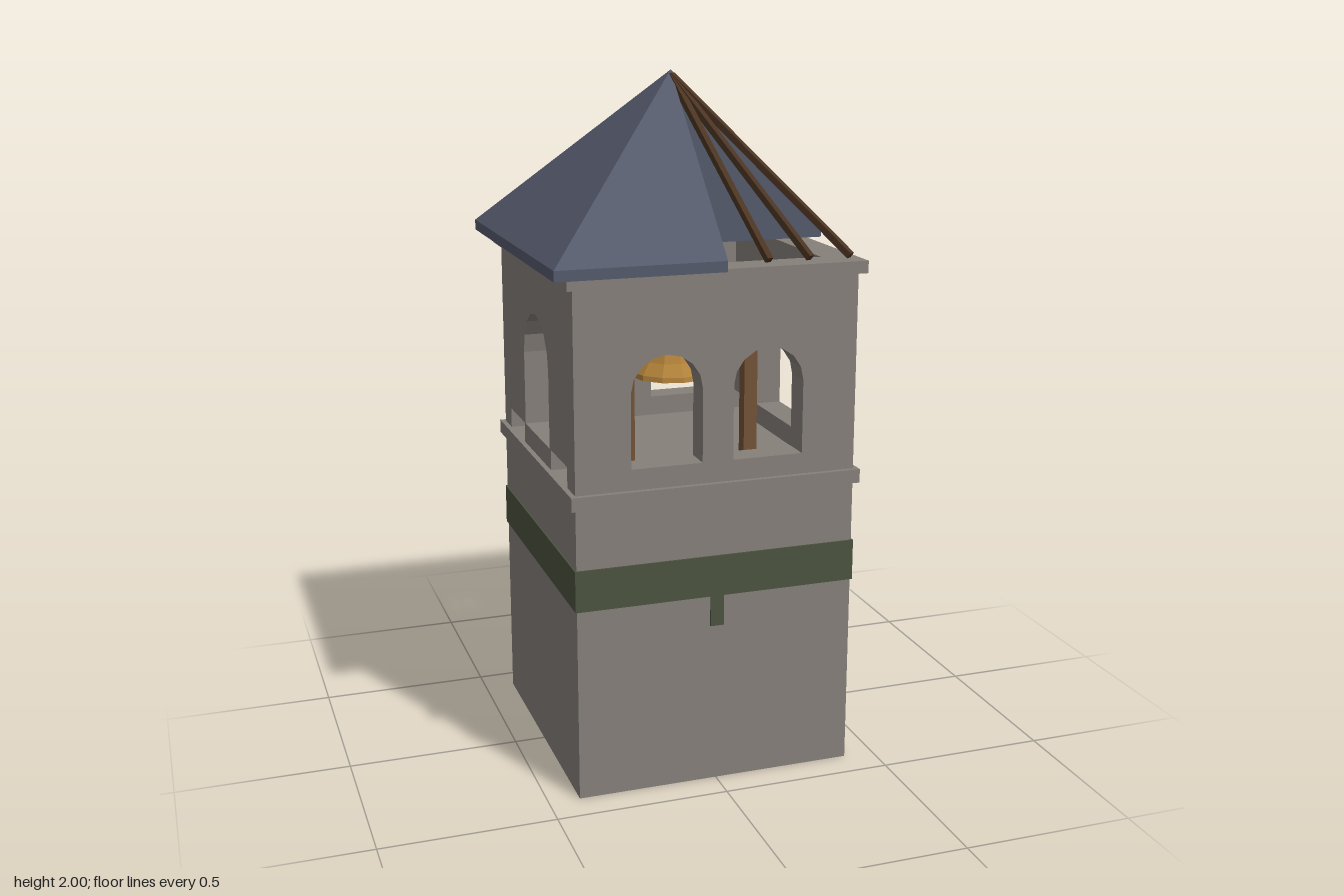
import * as THREE from 'three';

const mat = (name, color, double) => {
  const m = new THREE.MeshStandardMaterial({ color });
  m.name = name;
  if (double) m.side = THREE.DoubleSide;
  return m;
};

export function createModel() {
  const stone = mat('stone', 0x86807a);
  const slate = mat('slate', 0x555a6c);
  const moss = mat('moss', 0x4b533f);
  const wood = mat('wood', 0x735237);
  const darkWood = mat('dark wood', 0x4b3422);
  const bronze = mat('bronze', 0xb2823a, true);
  bronze.flatShading = true;

  const model = new THREE.Group();
  model.name = 'bellTower';
  const add = (name, geo, material, parent = model) => {
    const m = new THREE.Mesh(geo, material);
    m.name = name;
    parent.add(m);
    return m;
  };
  const box = (name, w, h, d, x, y, z, material, parent) => {
    const m = add(name, new THREE.BoxGeometry(w, h, d), material, parent);
    m.position.set(x, y, z);
    return m;
  };
  const rect = (T, r) => {
    const s = new T();
    s.moveTo(-r, -r); s.lineTo(r, -r); s.lineTo(r, r); s.lineTo(-r, r); s.closePath();
    return s;
  };

  // Square hollow ring standing from y0 to y1
  const ring = (name, outer, inner, y0, y1, material) => {
    const s = rect(THREE.Shape, outer);
    s.holes.push(rect(THREE.Path, inner));
    const g = new THREE.ExtrudeGeometry(s, { depth: y1 - y0, bevelEnabled: false });
    g.rotateX(-Math.PI / 2);
    g.translate(0, y0, 0);
    return add(name, g, material);
  };

  const H = 0.41, IN = 0.33, T = H - IN;
  ring('lowerShaft', H, IN, 0, 0.86, stone);
  ring('lowerCornice', 0.425, IN, 0.86, 0.9, stone);
  ring('upperCornice', 0.43, IN, 1.465, 1.5, stone);
  ring('mossBand', 0.415, H - 0.002, 0.565, 0.685, moss);
  box('belfryFloor', IN * 2, 0.04, IN * 2, 0, 0.88, 0, stone);

  // Moss patches trailing from the band
  box('frontMossPatch', 0.04, 0.15, 0.006, 0, 0.55, H + 0.002, moss);
  box('backMossPatch', 0.04, 0.15, 0.008, 0, 0.675, -H - 0.003, moss);

  // Belfry walls with round-headed openings: [centre, half width, sill, spring]
  const archPath = (Type, [c, r, sill, spring]) => {
    const p = new Type();
    p.moveTo(c - r, sill);
    p.lineTo(c + r, sill);
    for (let i = 0; i <= 8; i++) {
      const a = (i / 8) * Math.PI;
      p.lineTo(c + r * Math.cos(a), spring + r * Math.sin(a));
    }
    p.closePath();
    return p;
  };
  const extrudeWall = s => new THREE.ExtrudeGeometry(s, { depth: T, bevelEnabled: false }).translate(0, 0, IN);

  const twin = new THREE.Shape([[-H, 0.9], [H, 0.9], [H, 1.465], [-H, 1.465]].map(p => new THREE.Vector2(...p)));
  for (const c of [-0.148, 0.148]) twin.holes.push(archPath(THREE.Path, [c, 0.103, 0.96, 1.17]));
  const twinGeo = extrudeWall(twin);

  // Side walls hang above a low slot, broken by a sill block under the arch
  const side = new THREE.Shape();
  side.moveTo(-IN, 0.96);
  side.lineTo(-0.142, 0.96);
  for (let i = 8; i >= 0; i--) {
    const a = (i / 8) * Math.PI;
    side.lineTo(0.142 * Math.cos(a), 1.18 + 0.142 * Math.sin(a));
  }
  side.lineTo(0.142, 0.96);
  side.lineTo(IN, 0.96);
  side.lineTo(IN, 1.465);
  side.lineTo(-IN, 1.465);
  side.closePath();
  const sideGeo = extrudeWall(side);

  for (const [i, name] of ['front', 'back'].entries()) {
    add(name + 'BelfryWall', twinGeo, stone).rotation.y = i * Math.PI;
  }
  for (const [s, name] of [[1, 'left'], [-1, 'right']]) {
    add(name + 'BelfryWall', sideGeo, stone).rotation.y = s * Math.PI / 2;
    box(name + 'Sill', T, 0.06, 0.31, s * (H - T / 2), 0.93, 0, stone);
  }

  // Timber bell frame
  const frame = new THREE.Group();
  frame.name = 'bellFrame';
  model.add(frame);
  for (const s of [1, -1]) {
    for (const z of [0.155, -0.155]) box('framePost', 0.04, 0.42, 0.04, s * 0.187, 1.11, z, wood, frame);
    box('frameBeam', 0.046, 0.04, 0.365, s * 0.187, 1.34, 0, wood, frame);
  }
  box('headstock', 0.42, 0.04, 0.045, 0, 1.38, 0, wood, frame);
  box('ropeLever', 0.08, 0.02, 0.022, 0.245, 1.38, 0, darkWood, frame);
  box('bellRope', 0.008, 0.47, 0.008, 0.268, 1.135, 0, darkWood, frame);

  // Bell
  const profile = [[0.105, 1.12], [0.123, 1.115], [0.121, 1.13], [0.095, 1.165], [0.082, 1.2],
    [0.068, 1.26], [0.058, 1.315], [0.035, 1.335], [0, 1.34]].map(p => new THREE.Vector2(...p));
  add('bell', new THREE.LatheGeometry(profile, 12), bronze);
  box('bellHanger', 0.03, 0.04, 0.03, 0, 1.35, 0, wood);

  // Roof built from solid quarters; the front left quarter has fallen away
  const R = 0.475, E0 = 1.5, E1 = 1.53;
  const A = [0, 2, 0], O = [0, E0, 0];
  const X0 = [R, E0, 0], X1 = [R, E1, 0], C0 = [R, E0, R], C1 = [R, E1, R], Z0 = [0, E0, R], Z1 = [0, E1, R];
  const roofQuarter = cut => {
    const faces = [[A, C1, X1], [A, Z1, C1], [C1, C0, X0, X1], [Z1, Z0, C0, C1], [O, X0, C0, Z0]];
    if (cut) faces.push(cut);
    const pos = [];
    for (const f of faces) {
      for (let i = 1; i < f.length - 1; i++) pos.push(...f[0], ...f[i], ...f[i + 1]);
    }
    const g = new THREE.BufferGeometry();
    g.setAttribute('position', new THREE.Float32BufferAttribute(pos, 3));
    g.computeVertexNormals();
    return g;
  };
  const cuts = [[A, O, Z0, Z1], null, [A, X1, X0, O]];
  cuts.forEach((cut, i) => {
    add('roofQuarter', roofQuarter(cut), slate).rotation.y = (i + 1) * Math.PI / 2;
  });

  // Bare rafters across the gap
  const top = new THREE.Vector3(0, 1.985, 0.005);
  for (const x of [0.118, 0.237, 0.355]) {
    const foot = new THREE.Vector3(x, 1.525, 0.472);
    const r = box('rafter', 0.018, 0.018, top.distanceTo(foot), 0, 0, 0, darkWood);
    r.position.copy(top).add(foot).multiplyScalar(0.5);
    r.lookAt(foot);
  }

  model.children.forEach(c => { c.position.z -= 0.004; });
  return model;
}
